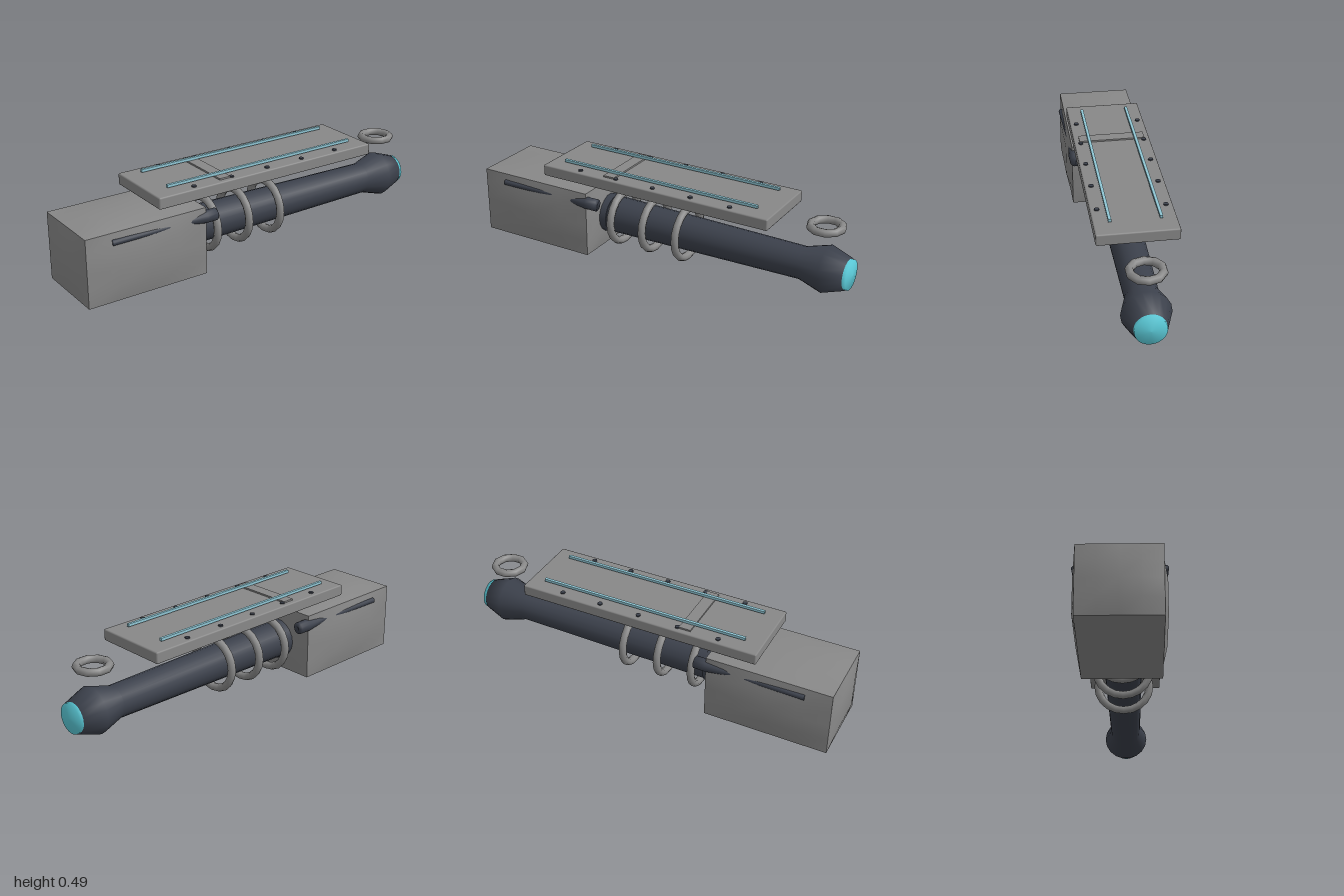
import * as THREE from 'three';
import { RoundedBoxGeometry } from 'three/addons/geometries/RoundedBoxGeometry.js';

const paint = (name, color) => {
  const m = new THREE.MeshStandardMaterial({ color });
  m.name = name;
  return m;
};

// Box whose faces swell outward while the edges stay put
function swollenBox(half, bulge) {
  const geo = new THREE.BoxGeometry(2, 2, 2, 4, 4, 4);
  const pos = geo.attributes.position;
  for (let i = 0; i < pos.count; i++) {
    const p = [pos.getX(i), pos.getY(i), pos.getZ(i)];
    const q = p.map((v, a) => {
      const inner = p.every((w, b) => b === a || Math.abs(w) < 0.75);
      return v * half[a] + (Math.abs(v) > 0.99 && inner ? Math.sign(v) * bulge[a] : 0);
    });
    pos.setXYZ(i, ...q);
  }
  geo.computeVertexNormals();
  return geo;
}

// Turned shape: profile of [radius, distance along the axis]
const turned = (profile, sides) =>
  new THREE.LatheGeometry(profile.map(([r, d]) => new THREE.Vector2(r, d)), sides);

export function createModel() {
  const model = new THREE.Group();
  const grey = paint('grey metal', 0x888888);
  const dark = paint('dark steel', 0x3c414c);
  const cyan = paint('cyan glow', 0x5ccddb);
  const pale = paint('pale blue', 0x8fc6d4);
  const axisY = 0.19;
  const add = (name, geo, mat, x, y, z) => {
    const mesh = new THREE.Mesh(geo, mat);
    mesh.name = name;
    mesh.position.set(x, y, z);
    model.add(mesh);
    return mesh;
  };

  // Rear housing
  add('housing', swollenBox([0.315, 0.171, 0.19], [0.018, 0.017, 0.018]), grey, -0.67, 0.188, 0);

  // Barrel with flared muzzle, along +x
  const barrel = turned([[0, -0.4], [0.094, -0.4], [0.094, -0.3], [0.08, 0.75],
    [0.116, 0.87], [0.08, 0.975], [0, 0.975]], 18);
  add('barrel', barrel, dark, 0, axisY, 0).rotation.z = -Math.PI / 2;
  const collar = new THREE.CylinderGeometry(0.1, 0.1, 0.06, 18);
  add('barrelCollar', collar, dark, -0.33, axisY, 0).rotation.z = -Math.PI / 2;

  // Glowing lens in the muzzle
  const lens = turned([[0.074, 0.96], [0.074, 0.993], [0, 1]], 24);
  add('lens', lens, cyan, 0, axisY, 0).rotation.z = -Math.PI / 2;

  // Rings around the barrel
  for (const x of [-0.25, -0.065, 0.125]) {
    add('barrelRing', new THREE.TorusGeometry(0.13, 0.02, 8, 20), grey, x, axisY, 0).rotation.y = Math.PI / 2;
  }

  // Front sight ring, lying flat
  add('sightRing', new THREE.TorusGeometry(0.075, 0.02, 8, 10), grey, 0.855, 0.407, 0).rotation.x = Math.PI / 2;

  // Top plate with its cross strip
  add('topPlate', new RoundedBoxGeometry(1.25, 0.058, 0.384, 1, 0.007), grey, 0.02, 0.436, 0);
  add('crossStrip', new THREE.BoxGeometry(0.06, 0.01, 0.33), grey, -0.23, 0.468, 0);

  for (const side of [-1, 1]) {
    // Side rods, thin at the rear and widening forward
    const start = new THREE.Vector3(-0.855, 0.315, 0.198 * side);
    const end = new THREE.Vector3(-0.295, 0.306, 0.176 * side);
    const rod = turned([[0, 0], [0.014, 0], [0.014, 0.38], [0.031, 0.5], [0.031, 0.56], [0, 0.56]], 14);
    add('sideRod', rod, dark, start.x, start.y, start.z).quaternion.setFromUnitVectors(
      new THREE.Vector3(0, 1, 0), end.sub(start).normalize());

    // Light rails and bolts on the plate
    add('lightRail', new THREE.BoxGeometry(1.08, 0.014, 0.014), pale, 0.02, 0.481, 0.117 * side);
    for (let i = 0; i < 5; i++) {
      add('bolt', new THREE.CylinderGeometry(0.012, 0.012, 0.008, 10), dark, -0.4 + i * 0.209, 0.467, 0.16 * side);
    }
  }
  return model;
}
